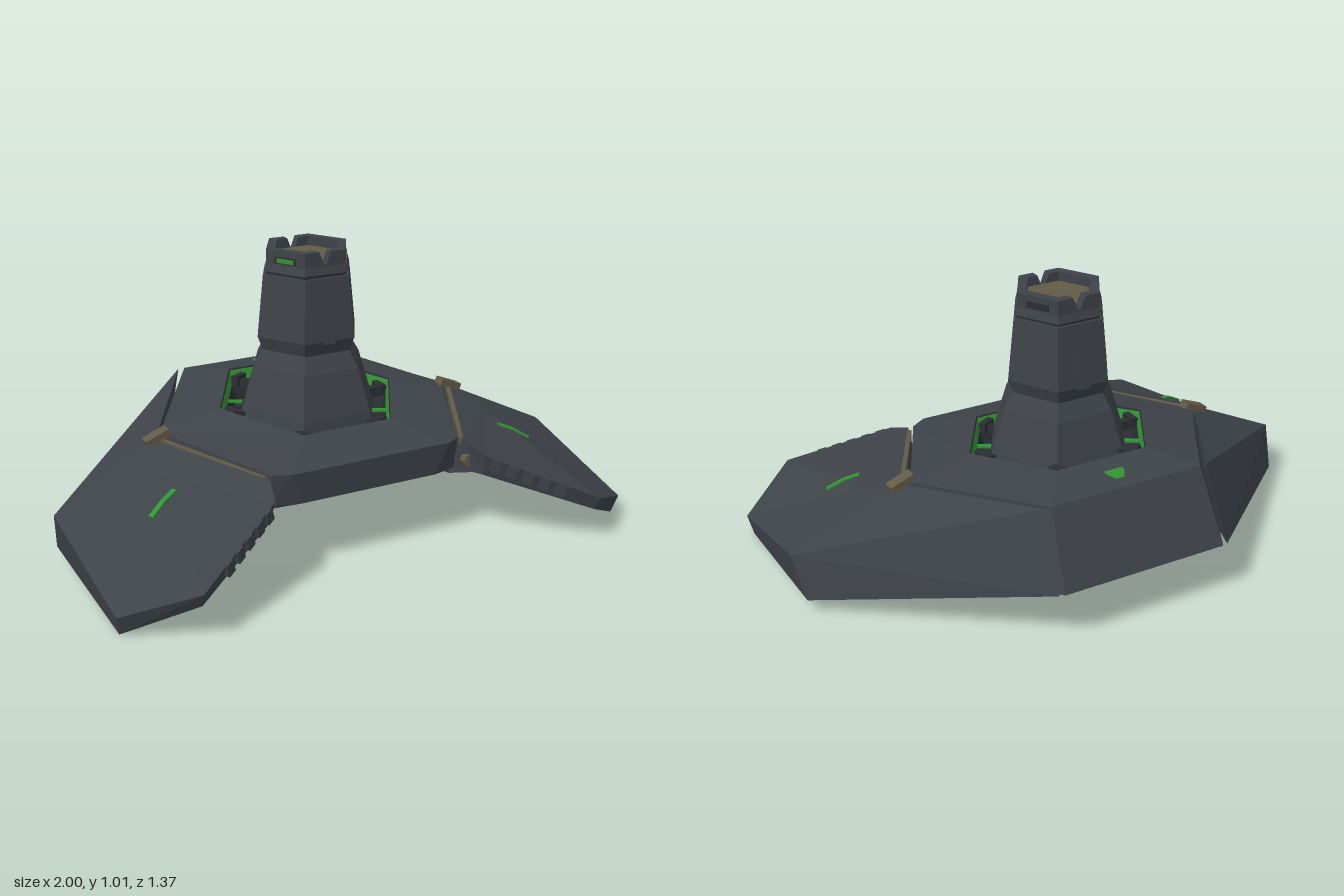
import * as THREE from 'three';

const mat = (name, color) => Object.assign(new THREE.MeshStandardMaterial({ color, side: THREE.DoubleSide }), { name });
const slate = mat('slate armour', 0x3e4349);
const dark = mat('dark metal', 0x2b2e33);
const bronze = mat('bronze', 0x625a46);
const green = mat('green light', 0x329232);
const CZ = -0.088; // z of the tower axis

function add(parent, name, geo, material, pos = [0, 0, 0]) {
  const g = geo.index ? geo.toNonIndexed() : geo;
  g.computeVertexNormals();
  const m = new THREE.Mesh(g, material);
  m.name = name;
  m.position.set(...pos);
  parent.add(m);
  return m;
}

// Faceted surface; every face is turned away from the point c
function faceted(faces, c) {
  const out = [], C = new THREE.Vector3(...c);
  for (const f of faces) {
    for (let i = 1; i < f.length - 1; i++) {
      let [a, b, d] = [f[0], f[i], f[i + 1]].map(p => new THREE.Vector3(...p));
      const n = b.clone().sub(a).cross(d.clone().sub(a));
      if (n.lengthSq() < 1e-12) continue;
      if (n.dot(a.clone().sub(C)) < 0) [b, d] = [d, b];
      for (const v of [a, b, d]) out.push(v.x, v.y, v.z);
    }
  }
  const g = new THREE.BufferGeometry();
  g.setAttribute('position', new THREE.Float32BufferAttribute(out, 3));
  return g;
}

// Quads joining two loops of equal length
const strip = (a, b) => a.map((p, i) => {
  const j = (i + 1) % a.length;
  return [p, a[j], b[j], b[i]];
});

// Tilted hexagon that follows the slope of the deck
const ring = (r, dy) => Array.from({ length: 6 }, (_, i) => {
  const a = i * Math.PI / 3, z = r * Math.sin(a);
  return [r * Math.cos(a), 0.45 + dy - 0.102 * z, CZ + z];
});

const hexPrism = (r0, r1, h) => new THREE.CylinderGeometry(r1, r0, h, 6, 1, false, Math.PI / 6);
const flip = p => [-p[0], p[1], p[2]];

// Box stretched between two points
function beam(parent, name, a, b, w, h, material) {
  const A = new THREE.Vector3(...a), B = new THREE.Vector3(...b);
  const m = add(parent, name, new THREE.BoxGeometry(w, h, A.distanceTo(B)), material, A.clone().add(B).multiplyScalar(0.5).toArray());
  m.lookAt(B);
  return m;
}

function buildHull() {
  const g = new THREE.Group();
  g.name = 'hull';
  const loop = (side, shoulder, front, back) =>
    [side, shoulder, front, flip(front), flip(shoulder), flip(side), flip(back), back];
  const rim = loop([0.58, 0.4, -0.09], [0.367, 0.362, 0.36], [0.31, 0.365, 0.395], [0.29, 0.455, -0.555]);
  const base = loop([0.61, 0.057, -0.08], [0.365, 0.24, 0.34], [0.26, 0.25, 0.385], [0.31, 0.2, -0.685]);
  const opening = ring(0.35, 0);
  const [o0, o1, o2, o3, o4, o5] = opening;
  const [side, shoulder, brow] = base, back = base[7];
  const lip = [0.31, 0.115, 0.1];

  // Deck, sides, brow and the underside set back below it
  const belly = [side, lip, flip(lip), flip(side), flip(back), back];
  const faces = [...strip([o0, o1, o1, o2, o2, o3, o4, o5], rim), ...strip(rim, base)];
  belly.forEach((p, i) => faces.push([p, belly[(i + 1) % 6], [0, 0.135, -0.1]]));
  const cheek = [[shoulder, brow, lip], [shoulder, lip, side]];
  faces.push(...cheek, ...cheek.map(f => f.map(flip)));
  add(g, 'hullShell', faceted(faces, [0, 0.26, CZ]), slate);

  // Front bay under the brow
  const bay = [brow, [0.3, 0.252, 0.05], [0.3, 0.125, 0.05], lip];
  const span = i => [bay[i], bay[i + 1], flip(bay[i + 1]), flip(bay[i])];
  add(g, 'bayLining', faceted([span(0), span(1), span(2), bay, bay.map(flip)], [0, 0.1, 5]), dark);
  add(g, 'bayBlock', new THREE.BoxGeometry(0.59, 0.085, 0.04), slate, [0, 0.18, 0.065]);
  add(g, 'bayLight', new THREE.BoxGeometry(0.59, 0.026, 0.008), green, [0, 0.236, 0.058]);
  add(g, 'bayArch', new THREE.TorusGeometry(0.125, 0.028, 6, 6, Math.PI), bronze, [0, 0.135, 0.12]).scale.set(1, 0.74, 1);
  add(g, 'innerArch', new THREE.TorusGeometry(0.08, 0.016, 6, 6, Math.PI), bronze, [0, 0.135, 0.1]).scale.set(1, 0.8, 1);

  // Sunken well round the tower
  const floor = ring(0.315, -0.12);
  add(g, 'well', faceted([...strip(opening, floor), floor], [0, 3, CZ]), dark);
  add(g, 'wellLight', faceted(strip(ring(0.346, -0.005), ring(0.334, -0.043)), [0, 3, CZ]), green);
  for (let i = 0; i < 6; i++) {
    const spoke = new THREE.Group();
    spoke.name = 'wellSpoke';
    spoke.position.set(0, 0.45, CZ);
    spoke.rotation.y = i * Math.PI / 3;
    const drop = -0.102 * Math.cos(spoke.rotation.y);
    add(spoke, 'wellLamp', new THREE.BoxGeometry(0.02, 0.008, 0.055), green, [0, -0.05 + drop * 0.27, 0.267]);
    add(spoke, 'wellBlock', new THREE.BoxGeometry(0.08, 0.06, 0.035), dark, [0, -0.085 + drop * 0.27, 0.25]);
    const corner = new THREE.Group();
    corner.name = 'cornerBracket';
    corner.rotation.y = Math.PI / 6;
    const dropC = -0.102 * Math.cos(spoke.rotation.y + Math.PI / 6);
    add(corner, 'bracketArm', new THREE.BoxGeometry(0.03, 0.035, 0.1), dark, [0, -0.04 + dropC * 0.28, 0.28]);
    add(corner, 'bracketFoot', new THREE.BoxGeometry(0.06, 0.04, 0.025), dark, [0, -0.03 + dropC * 0.3, 0.305]);
    spoke.add(corner);
    g.add(spoke);
  }

  // Rear deck marker
  const s = new THREE.Shape();
  [[-0.035, -0.025], [0.035, -0.025], [0.035, -0.01], [0.015, 0.025], [-0.015, 0.025], [-0.035, -0.01]]
    .forEach(([x, y], i) => (i ? s.lineTo(x, y) : s.moveTo(x, y)));
  add(g, 'deckMarker', new THREE.ExtrudeGeometry(s, { depth: 0.006, bevelEnabled: false }), green, [0, 0.463, -0.485])
    .rotation.x = -Math.PI / 2 - 0.157;
  return g;
}

function buildTower() {
  const g = new THREE.Group();
  g.name = 'tower';
  g.position.z = CZ;
  // bottom y, bottom radius, top y, top radius
  const tiers = [[0.33, 0.285, 0.43, 0.265], [0.43, 0.265, 0.585, 0.215], [0.585, 0.215, 0.645, 0.178],
    [0.645, 0.178, 0.695, 0.198], [0.695, 0.198, 0.92, 0.174]];
  tiers.forEach(([y0, r0, y1, r1]) => add(g, 'towerTier', hexPrism(r0, r1, y1 - y0), slate, [0, (y0 + y1) / 2, 0]));
  add(g, 'collar', hexPrism(0.163, 0.163, 0.02), dark, [0, 0.926, 0]);
  add(g, 'crownBase', hexPrism(0.172, 0.165, 0.025), slate, [0, 0.944, 0]);
  add(g, 'roof', hexPrism(0.122, 0.122, 0.02), bronze, [0, 0.966, 0]);

  for (let i = 0; i < 6; i++) {
    const side = new THREE.Group();
    side.name = 'towerSide';
    side.rotation.y = i * Math.PI / 3;
    // Crown wall, notched front and back
    const w = 0.08, s = new THREE.Shape();
    s.moveTo(-w, 0.94);
    s.lineTo(w, 0.94);
    s.lineTo(w, 1.01);
    if (i % 3 === 0) [[0.023, 1.01], [0.005, 0.965], [-0.005, 0.965], [-0.023, 1.01]].forEach(p => s.lineTo(...p));
    s.lineTo(-w, 1.01);
    add(side, 'crownWall', new THREE.ExtrudeGeometry(s, { depth: 0.032, bevelEnabled: false }), slate, [0, 0, 0.1065]);
    if (i % 3) {
      // Lamps: lit on the two front diagonals
      add(side, 'lampFrame', new THREE.BoxGeometry(0.088, 0.024, 0.005), dark, [0, 0.975, 0.1375]);
      if (i === 1 || i === 5) add(side, 'lamp', new THREE.BoxGeometry(0.068, 0.016, 0.005), green, [0, 0.974, 0.139]);
    } else {
      // Shallow slot panel front and back
      add(side, 'slotPanel', new THREE.BoxGeometry(0.045, 0.13, 0.008), slate, [0, 0.75, 0.165]).rotation.x = -0.092;
    }
    g.add(side);
  }
  return g;
}

function buildWing() {
  const g = new THREE.Group();
  g.name = 'leftWing';
  // Both loops: rear root, side root, front root, inner front, tip, outer front, outer rear
  const top = [[0.315, 0.455, -0.555], [0.6, 0.39, -0.08], [0.382, 0.355, 0.375], [0.41, 0.32, 0.47],
    [0.76, 0.17, 0.685], [0.985, 0.07, 0.52], [1, 0.2, -0.02]];
  const low = [[0.33, 0.2, -0.68], [0.612, 0.056, -0.08], [0.37, 0.24, 0.34], [0.42, 0.24, 0.45],
    [0.755, 0.12, 0.66], [0.97, 0, 0.5], [0.975, 0.05, -0.09]];
  const ridge = [0.68, 0.33, 0.06], keel = [0.7, 0.08, 0.12];
  const faces = [...strip(top, low), [top[0], top[1], top[6]]];
  for (let i = 1; i < 6; i++) faces.push([ridge, top[i], top[i + 1]]);
  faces.push([ridge, top[6], top[1]], [low[0], low[1], low[6]], [keel, low[6], low[1]]);
  for (let i = 1; i < 6; i++) faces.push([keel, low[i], low[i + 1]]);
  add(g, 'wingShell', faceted(faces, [0.7, 0.2, 0.1]), slate);

  // Ribs along the front edge
  const at = t => top[3].map((v, k) => v + (top[4][k] - v) * t);
  [0.06, 0.2, 0.34, 0.48, 0.62].forEach(t => {
    const [x, y, z] = at(t), [x2, y2, z2] = at(t + 0.08);
    beam(g, 'edgeRib', [x, y - 0.022, z - 0.006], [x2, y2 - 0.022, z2 - 0.006], 0.022, 0.045, slate);
  });

  // Joint strip in the groove, clamps and the housing beneath
  beam(g, 'jointStrip', [0.592, 0.376, -0.05], [0.388, 0.341, 0.35], 0.016, 0.03, bronze);
  beam(g, 'topClamp', [0.56, 0.412, -0.066], [0.645, 0.378, -0.066], 0.045, 0.03, bronze);
  add(g, 'frontClamp', new THREE.CylinderGeometry(0.026, 0.026, 0.03, 8).rotateX(Math.PI / 2), bronze, [0.398, 0.28, 0.385]);
  beam(g, 'jointHousing', [0.4, 0.245, 0.34], [0.46, 0.19, 0.2], 0.09, 0.06, slate);

  // Light strip lying on the wing skin, bent over the ridge
  const bend = [0.701, 0.289, 0.228];
  beam(g, 'wingLight', [0.65, 0.308, 0.203], bend, 0.02, 0.008, green);
  beam(g, 'wingLight', bend, [0.757, 0.253, 0.256], 0.02, 0.008, green);
  return g;
}

export function createModel() {
  const model = new THREE.Group();
  model.name = 'hexagonalStation';
  const left = buildWing(), right = buildWing();
  right.name = 'rightWing';
  right.scale.x = -1;
  model.add(buildHull(), buildTower(), left, right);
  return model;
}
